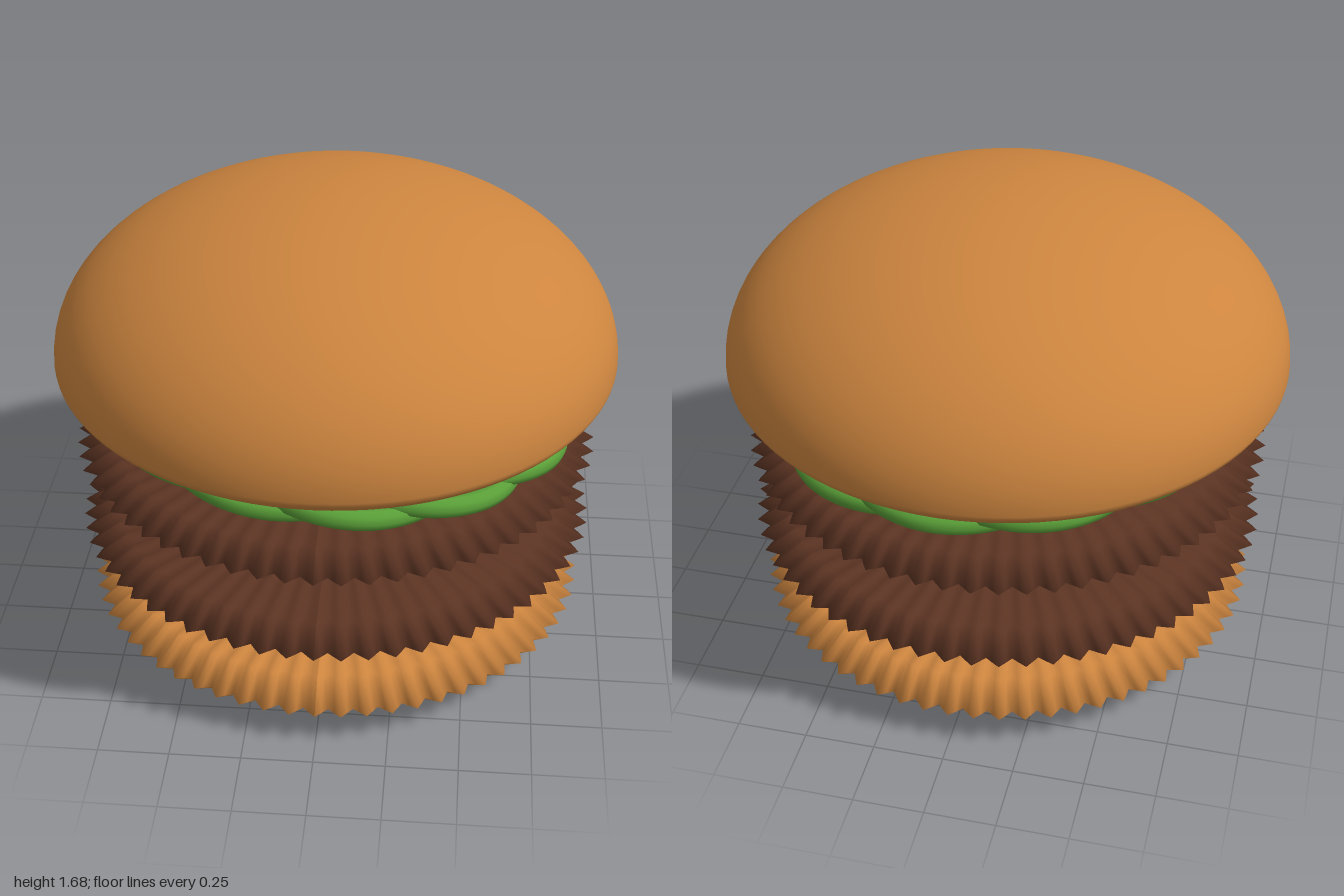
import * as THREE from 'three';

const mat = (name, color, side = THREE.FrontSide) => {
  const m = new THREE.MeshStandardMaterial({ color, side });
  m.name = name;
  return m;
};

// Flat disc with a pointed rim pinched into many small radial flutes
function flutedDisc(rim, halfHeight, teeth = 64) {
  const shoulder = rim * 0.88, h = halfHeight;
  const profile = [
    [0, -h], [shoulder * 0.5, -h * 0.8], [shoulder, -h * 0.58], [rim, 0],
    [shoulder, h * 0.58], [shoulder * 0.5, h * 0.8], [0, h],
  ].map(([r, y]) => new THREE.Vector2(r, y));
  const geo = new THREE.LatheGeometry(profile, teeth * 4);
  const p = geo.attributes.position;
  for (let i = 0; i < p.count; i++) {
    const x = p.getX(i), z = p.getZ(i);
    const reach = Math.hypot(x, z) / rim;
    const dip = (1 - Math.cos(Math.atan2(z, x) * teeth)) / 2;
    const s = 1 - 0.045 * dip * reach;
    p.setXYZ(i, x * s, p.getY(i) * (1 - 0.1 * dip * reach), z * s);
  }
  geo.computeVertexNormals();
  return geo;
}

// Closed strand winding round a flattened, tilted ring
class WoundRing extends THREE.Curve {
  getPoint(t, target = new THREE.Vector3()) {
    const turns = 4, windings = 13;
    const a = t * Math.PI * 2 * turns, w = t * Math.PI * 2 * windings;
    const r = 0.73 + 0.125 * Math.cos(w);
    const x = r * Math.cos(a);
    return target.set(x, 0.943 - 0.062 * x + 0.025 * Math.sin(w), r * Math.sin(a));
  }
}

export function createModel() {
  const model = new THREE.Group();
  model.name = 'burger';
  const bread = mat('bread', 0xcd853f);
  const meat = mat('meat', 0x5c3423);
  const cheese = mat('cheese', 0xdaa520);
  const leaf = mat('lettuce', 0x5a9f38);

  const add = (name, geo, material, y = 0) => {
    const mesh = new THREE.Mesh(geo, material);
    mesh.name = name;
    mesh.position.y = y;
    model.add(mesh);
  };

  // Bottom bun and the two patties
  add('bottomBun', flutedDisc(0.92, 0.135), bread, 0.138);
  const patty = flutedDisc(0.945, 0.107);
  add('lowerPatty', patty, meat, 0.412);
  add('upperPatty', patty, meat, 0.732);

  // Thin lens-shaped cheese slices
  const slice = new THREE.SphereGeometry(0.63, 64, 12).scale(1, 0.018 / 0.63, 1);
  add('lowerCheese', slice, cheese, 0.545);
  add('upperCheese', slice, cheese, 0.865);

  // Lettuce strands
  add('lettuce', new THREE.TubeGeometry(new WoundRing(), 640, 0.038, 10, true), leaf);

  // Domed top bun with a shallow rounded underside
  const dome = [];
  for (let i = 0; i <= 48; i++) {
    const a = -Math.PI / 2 + (i / 48) * Math.PI;
    const h = a < 0 ? 0.19 : 0.58;
    dome.push(new THREE.Vector2(Math.max(0, Math.cos(a)), h * Math.sin(a)));
  }
  add('topBun', new THREE.LatheGeometry(dome, 96), bread, 1.1);

  return model;
}
